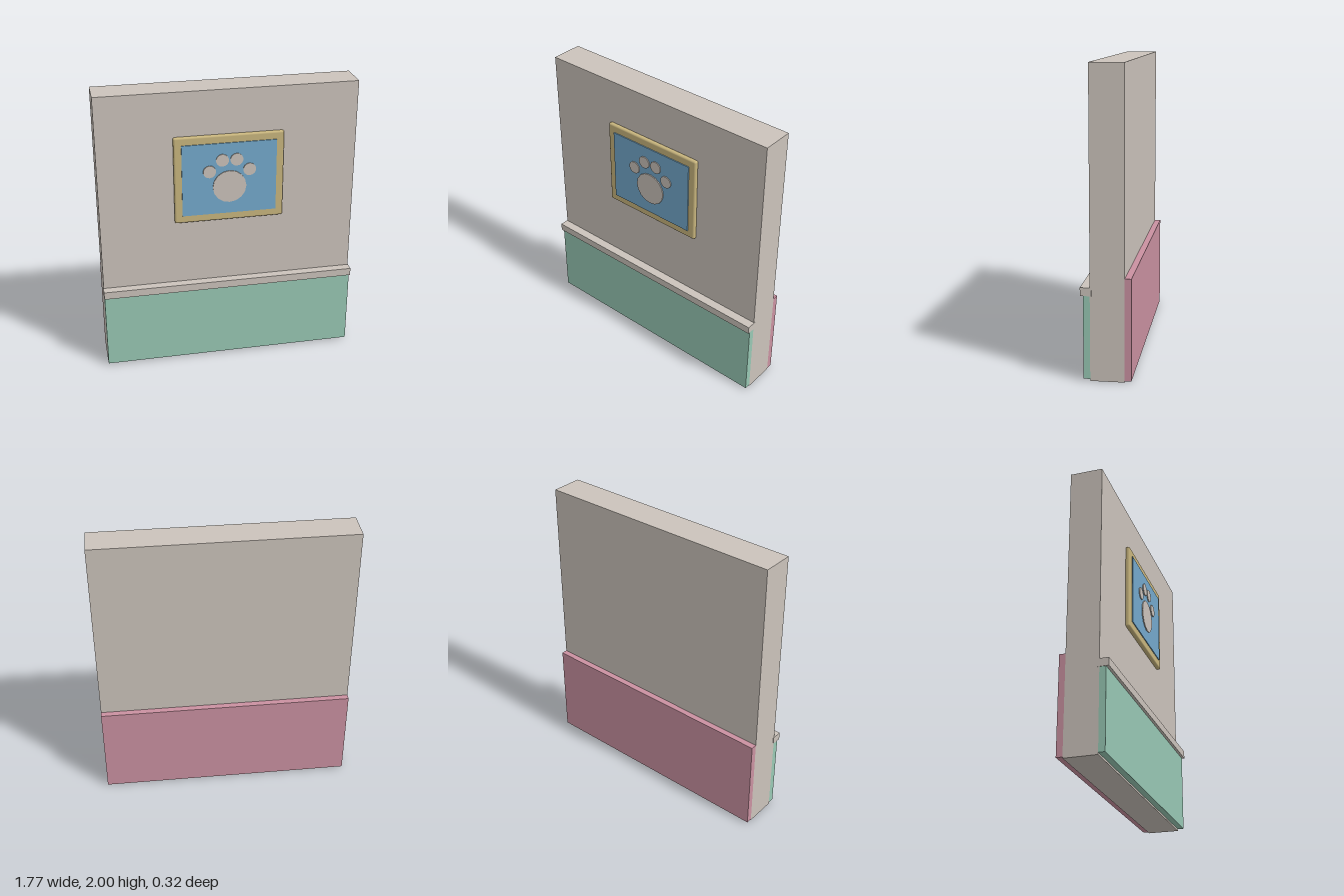
import * as THREE from 'three';
import { RoundedBoxGeometry } from 'three/addons/geometries/RoundedBoxGeometry.js';

function makeMaterial(name, color) {
  const m = new THREE.MeshStandardMaterial({ color });
  m.name = name;
  return m;
}

export function createModel() {
  const group = new THREE.Group();
  group.name = 'wallSection';

  const plaster = makeMaterial('warm grey plaster', 0xcbc3bb);
  const green = makeMaterial('mint green', 0x98c8b4);
  const pink = makeMaterial('dusty pink', 0xca91a1);
  const gold = makeMaterial('dull gold', 0xc9b67e);
  const blue = makeMaterial('sky blue', 0x74a9cc);

  const add = (name, geometry, material, x, y, z) => {
    const mesh = new THREE.Mesh(geometry, material);
    mesh.name = name;
    mesh.position.set(x, y, z);
    group.add(mesh);
    return mesh;
  };

  // Box given by its width and its y and z ranges
  const slab = (name, material, width, y0, y1, z0, z1) =>
    add(name, new THREE.BoxGeometry(width, y1 - y0, z1 - z0), material,
      0, (y0 + y1) / 2, (z0 + z1) / 2);

  // Wall with its lower panels and chair rail
  slab('wall', plaster, 1.766, 0, 2, -0.12, 0.1);
  slab('frontPanel', green, 1.766, 0.013, 0.558, 0.1, 0.143);
  slab('backPanel', pink, 1.766, 0.008, 0.675, -0.162, -0.12);
  slab('chairRail', plaster, 1.772, 0.556, 0.61, 0.09, 0.162);

  // Picture: bevelled frame and raised canvas
  add('pictureFrame', new RoundedBoxGeometry(0.75, 0.62, 0.033, 2, 0.013), gold, 0, 1.385, 0.113);
  slab('pictureCanvas', blue, 0.646, 1.13, 1.64, 0.12, 0.136);

  // Paw print: one large pad and four toes
  const disc = (name, radius, sides, x, y) => {
    const geometry = new THREE.CylinderGeometry(radius, radius, 0.008, sides);
    geometry.rotateX(Math.PI / 2);
    add(name, geometry, plaster, x, y, 0.139);
  };
  disc('pawPad', 0.115, 16, 0, 1.328);
  for (const side of [-1, 1]) {
    disc('outerToe', 0.044, 14, side * 0.137, 1.443);
    disc('innerToe', 0.044, 14, side * 0.049, 1.52);
  }

  return group;
}
